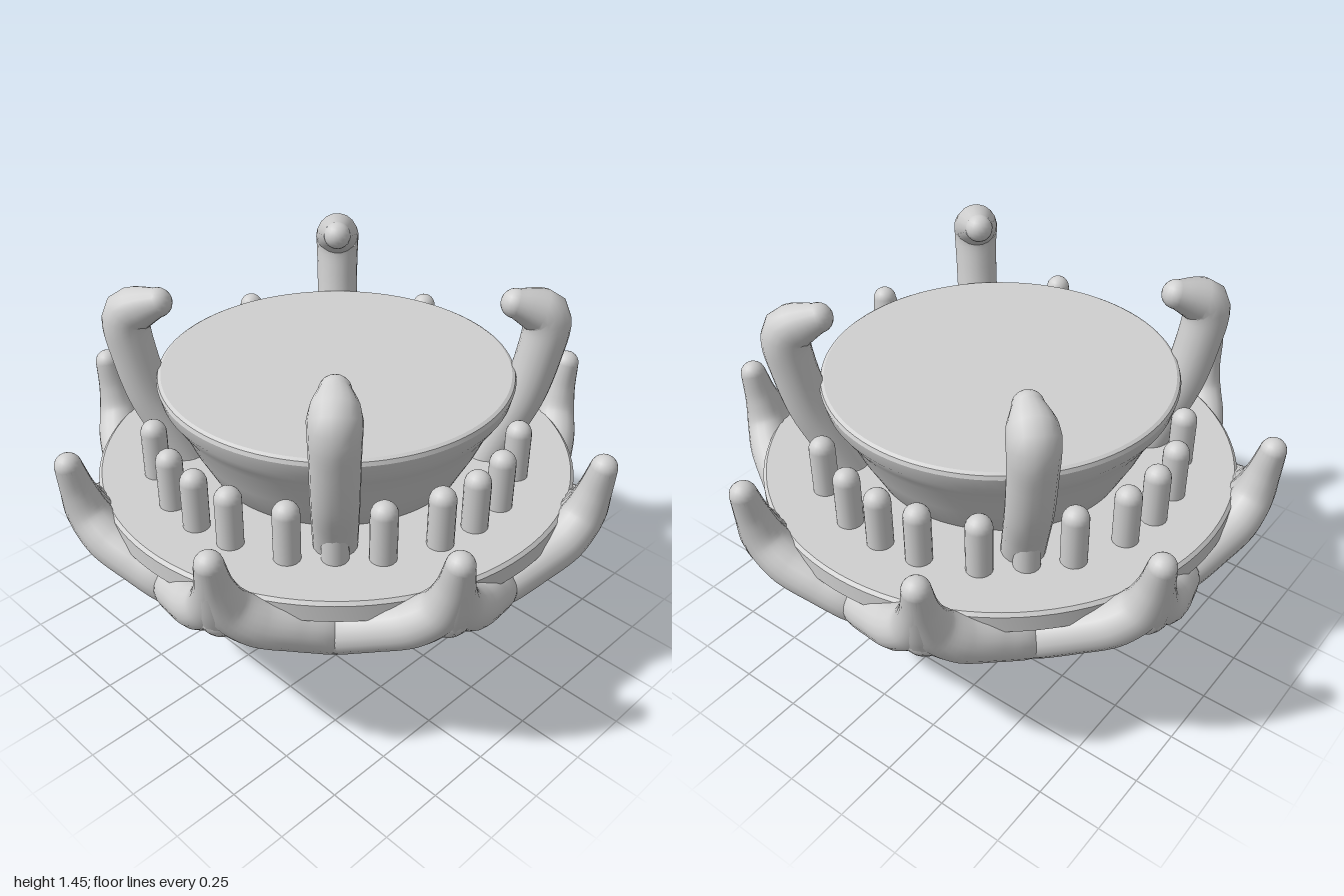
import * as THREE from 'three';
import { toCreasedNormals } from 'three/addons/utils/BufferGeometryUtils.js';

const metal = new THREE.MeshStandardMaterial({ color: 0xd0d0d0 });
metal.name = 'plain metal';

const add = (parent, name, geometry) => {
  const mesh = new THREE.Mesh(geometry, metal);
  mesh.name = name;
  parent.add(mesh);
  return mesh;
};

// Point from radius, height and angle in degrees around the vertical axis
const polar = (r, y, deg) => {
  const a = THREE.MathUtils.degToRad(deg);
  return new THREE.Vector3(r * Math.sin(a), y, r * Math.cos(a));
};

// Round bar through points, with a radius at each point and ball ends
function bar(parent, name, points, radii) {
  const group = new THREE.Group();
  group.name = name;
  parent.add(group);
  const curve = new THREE.CatmullRomCurve3(points, false, 'centripetal');
  const segs = 32, sides = 18;
  const geo = new THREE.TubeGeometry(curve, segs, 1, sides);
  const pos = geo.attributes.position;
  const v = new THREE.Vector3();
  for (let i = 0; i <= segs; i++) {
    const centre = curve.getPointAt(i / segs);
    const t = curve.getUtoTmapping(i / segs) * (radii.length - 1);
    const k = Math.min(Math.floor(t), radii.length - 2);
    const r = THREE.MathUtils.lerp(radii[k], radii[k + 1], t - k);
    for (let j = 0; j <= sides; j++) {
      const n = i * (sides + 1) + j;
      v.fromBufferAttribute(pos, n).sub(centre).multiplyScalar(r).add(centre);
      pos.setXYZ(n, v.x, v.y, v.z);
    }
  }
  add(group, name + 'Shaft', geo);
  for (const i of [0, points.length - 1]) {
    add(group, name + 'End', new THREE.SphereGeometry(radii[i], 18, 12)).position.copy(points[i]);
  }
}

const lathe = (profile) => toCreasedNormals(
  new THREE.LatheGeometry(profile.map(([x, y]) => new THREE.Vector2(x, y)), 96), 0.45);

export function createModel() {
  const model = new THREE.Group();
  model.name = 'gemSetting';

  // Upper bowl with a flat lid
  add(model, 'bowl', lathe([
    [0, 0.55], [0.28, 0.55], [0.39, 0.64], [0.495, 0.755], [0.56, 0.88], [0.605, 0.985],
    [0.635, 1.03], [0.66, 1.07], [0.672, 1.12], [0.667, 1.135], [0.655, 1.142], [0, 1.142]]));

  // Gallery plate
  add(model, 'plate', lathe([
    [0, 0.57], [0.38, 0.57], [0.6, 0.598], [0.8, 0.635], [0.9, 0.665],
    [0.922, 0.68], [0.922, 0.745], [0.91, 0.757], [0, 0.757]]));

  // Solid hub where the ribs meet
  add(model, 'hub', lathe([
    [0, 0], [0.07, 0.003], [0.14, 0.022], [0.2, 0.052], [0.25, 0.086], [0.285, 0.115],
    [0.298, 0.138], [0.295, 0.158], [0.275, 0.17], [0.24, 0.17], [0.15, 0.15], [0, 0.14]]));

  // Basket: eight ribs, forked arms sweeping up into the outer prongs
  for (let i = 0; i < 8; i++) {
    const a = i * 45;
    bar(model, 'rib', [polar(0.06, 0.09, a), polar(0.15, 0.112, a), polar(0.3, 0.19, a),
      polar(0.55, 0.35, a), polar(0.72, 0.474, a), polar(0.82, 0.562, a)],
    [0.08, 0.082, 0.085, 0.078, 0.084, 0.088]);
    for (const s of [-1, 1]) {
      bar(model, 'arm', [polar(0.79, 0.52, a), polar(0.835, 0.57, a + s * 2.5),
        polar(0.885, 0.615, a + s * 9), polar(0.945, 0.668, a + s * 16),
        polar(0.982, 0.735, a + s * 20.5), polar(1.008, 0.83, a + s * 22.2),
        polar(1.03, 0.94, a + s * 22.5)],
      [0.08, 0.085, 0.082, 0.084, 0.08, 0.064, 0.05]);
      // Web softening the corner between rib and arm
      bar(model, 'web', [polar(0.7, 0.46, a), polar(0.79, 0.528, a + s * 2.8),
        polar(0.885, 0.61, a + s * 9)], [0.07, 0.07, 0.07]);
    }
    const p = a + 22.5;
    bar(model, 'outerProng', [polar(0.968, 0.705, p), polar(0.99, 0.76, p), polar(1.012, 0.85, p),
      polar(1.03, 0.94, p)], [0.088, 0.08, 0.061, 0.05]);
  }

  // Ring of small pegs, shorter beneath the tall claws
  for (let i = 0; i < 24; i++) {
    const step = i % 6;
    const a = Math.floor(i / 6) * 90 + [0, 13.5, 31.4, 45, 58.6, 76.5][step];
    const top = step === 3 ? 0.91 : 0.99;
    const peg = add(model, 'peg', new THREE.CapsuleGeometry(0.049, top - 0.8, 6, 18));
    peg.position.copy(polar(step === 3 ? 0.68 : 0.7, (top + 0.702) / 2, a));
  }

  // Four tall claws hooked inward at the top
  for (let i = 0; i < 4; i++) {
    const a = 45 + i * 90;
    bar(model, 'claw', [polar(0.59, 0.74, a), polar(0.65, 0.88, a), polar(0.715, 1.03, a),
      polar(0.757, 1.2, a), polar(0.772, 1.31, a), polar(0.76, 1.352, a), polar(0.712, 1.374, a),
      polar(0.65, 1.393, a)],
    [0.08, 0.082, 0.084, 0.085, 0.088, 0.09, 0.08, 0.055]);
  }
  return model;
}
